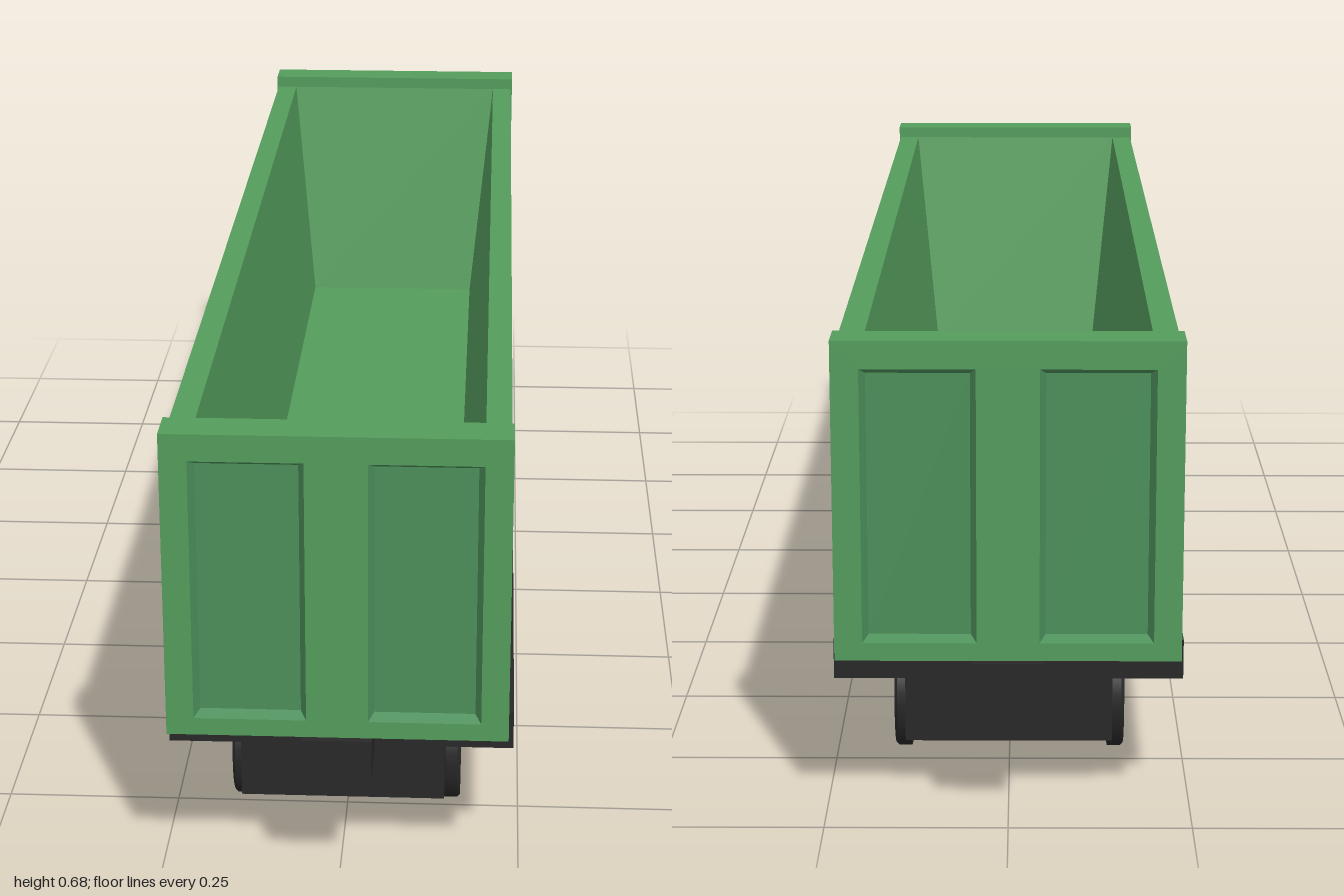
import * as THREE from 'three';

const green = new THREE.MeshStandardMaterial({ color: 0x549c5c });
const panelGreen = new THREE.MeshStandardMaterial({ color: 0x4c8f5a });
const black = new THREE.MeshStandardMaterial({ color: 0x282828 });

function add(parent, name, geometry, material, x = 0, y = 0, z = 0) {
  const mesh = new THREE.Mesh(geometry, material);
  mesh.name = name;
  mesh.position.set(x, y, z);
  parent.add(mesh);
  return mesh;
}

// Joins four-cornered rings with flat faces and closes the last one
function loft(rings) {
  const pos = [];
  const quad = (a, b, c, d) => pos.push(...a, ...b, ...c, ...a, ...c, ...d);
  for (let r = 0; r + 1 < rings.length; r++) {
    for (let i = 0; i < 4; i++) {
      const j = (i + 1) % 4;
      quad(rings[r][i], rings[r][j], rings[r + 1][j], rings[r + 1][i]);
    }
  }
  quad(...rings[rings.length - 1]);
  const geo = new THREE.BufferGeometry();
  geo.setAttribute('position', new THREE.Float32BufferAttribute(pos, 3));
  geo.computeVertexNormals();
  return geo;
}

// Counter-clockwise rectangle in the xy plane at depth z
const rect = (x0, x1, y0, y1, z) => [[x0, y0, z], [x1, y0, z], [x1, y1, z], [x0, y1, z]];

// Wall facing +z (outer face at z = 0) with bevelled, sunken panels
function panelledWall(name, width, y0, y1, thickness, panels, py0, py1) {
  const wall = new THREE.Group();
  wall.name = name;
  const depth = 0.016, bevel = 0.008, w = width / 2;
  const outline = (pts) => pts.map(([x, y]) => new THREE.Vector2(x, y));
  const shape = new THREE.Shape(outline(rect(-w, w, y0, y1, 0)));
  for (const [a, b] of panels) {
    shape.holes.push(new THREE.Path(outline(rect(a, b, py0, py1, 0)).reverse()));
    add(wall, 'sunkenPanel', loft([
      rect(a, b, py0, py1, 0),
      rect(a + bevel, b - bevel, py0 + bevel, py1 - bevel, -depth + 0.001),
    ]), panelGreen);
  }
  add(wall, 'wallFrame', new THREE.ExtrudeGeometry(shape, { depth, bevelEnabled: false }), green, 0, 0, -depth);
  const back = thickness - depth;
  add(wall, 'wallBacking', new THREE.BoxGeometry(width, y1 - y0, back), green,
    0, (y0 + y1) / 2, -depth - back / 2);
  return wall;
}

// Spoke-less wheel with a dished face and a raised hub
function wheelGeometry() {
  const profile = [[0, 0], [0.085, 0], [0.085, 0.019], [0.081, 0.023], [0.06, 0.023], [0.055, 0.016],
    [0.042, 0.016], [0.039, 0.023], [0.026, 0.023], [0.023, 0.017], [0, 0.017]];
  // Doubled points keep the edges crisp
  const pts = profile.flatMap(([r, h]) => [new THREE.Vector2(r, h), new THREE.Vector2(r, h)]);
  return new THREE.LatheGeometry(pts, 32).rotateZ(-Math.PI / 2);
}

export function createModel() {
  const model = new THREE.Group();
  model.name = 'openWagon';

  // Long side walls with seven panels each
  const sidePanels = [];
  for (let i = 0; i < 7; i++) {
    const c = (i - 3) * 0.2695;
    sidePanels.push([c - 0.118, c + 0.118]);
  }
  for (const s of [-1, 1]) {
    const side = panelledWall(s > 0 ? 'leftWall' : 'rightWall', 1.86, 0.238, 0.655, 0.035, sidePanels, 0.263, 0.642);
    side.position.x = s * 0.23;
    side.rotation.y = s * Math.PI / 2;
    model.add(side);

    // Taller end walls with two panels each
    const end = panelledWall(s > 0 ? 'frontWall' : 'backWall', 0.465, 0.236, 0.675, 0.06,
      [[-0.195, -0.042], [0.042, 0.195]], 0.261, 0.637);
    end.position.z = s * 0.99;
    end.rotation.y = s > 0 ? 0 : Math.PI;
    model.add(end);

    // Coupling block under each end
    add(model, 'couplingBlock', new THREE.BoxGeometry(0.095, 0.055, 0.1), black, 0, 0.208, s * 0.95);
  }

  // Hopper interior sloping down to the floor
  const flat = (x, z, y) => [[-x, y, z], [x, y, z], [x, y, -z], [-x, y, -z]];
  add(model, 'hopperInterior', loft([flat(0.195, 0.93, 0.655), flat(0.155, 0.853, 0.262)]), green);

  // Chassis
  add(model, 'chassis', new THREE.BoxGeometry(0.48, 0.056, 1.81), black, 0, 0.208, 0);

  // Bogies and wheels
  for (const [z0, z1] of [[0.19, 0.865], [-0.87, -0.195]]) {
    add(model, 'bogie', new THREE.BoxGeometry(0.288, 0.107, z1 - z0), black, 0, 0.1285, (z0 + z1) / 2);
  }
  const wheel = wheelGeometry();
  for (const z of [0.705, 0.365, -0.355, -0.682]) {
    for (const s of [-1, 1]) {
      const mesh = add(model, 'wheel', wheel, black, s * 0.142, 0.0875, z);
      if (s < 0) mesh.rotation.y = Math.PI;
      mesh.scale.y = 0.0875 / 0.085;
    }
  }
  return model;
}
